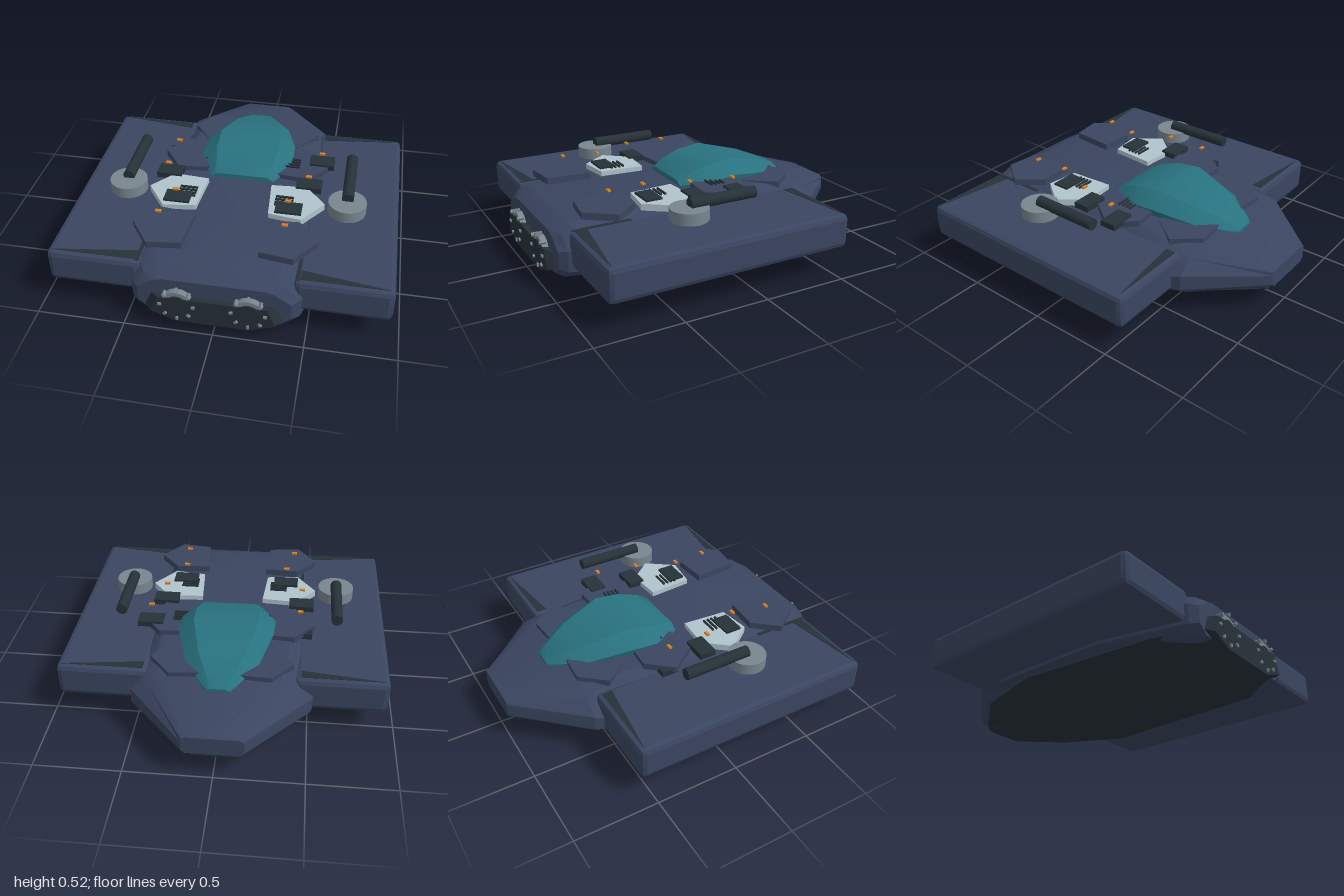
import * as THREE from 'three';
import { toCreasedNormals } from 'three/addons/utils/BufferGeometryUtils.js';
import { RoundedBoxGeometry } from 'three/addons/geometries/RoundedBoxGeometry.js';

const mat = (name, color, side = THREE.FrontSide) => {
  const m = new THREE.MeshStandardMaterial({ color, side });
  m.name = name;
  return m;
};

// Closed loft: each section is [z, [x, y], ...] listing the +x half from bottom to top
function loft(sections, crease) {
  const rings = sections.map(([z, ...half]) => [
    ...half.map(([x, y]) => [x, y, z]),
    ...half.slice().reverse().map(([x, y]) => [-x, y, z]),
  ]);
  const n = rings[0].length, index = [], last = (rings.length - 1) * n;
  for (let i = 0; i < rings.length - 1; i++) {
    for (let j = 0; j < n; j++) {
      const a = i * n + j, b = i * n + (j + 1) % n;
      index.push(a, b, b + n, a, b + n, a + n);
    }
  }
  for (let j = 1; j < n - 1; j++) {
    index.push(0, j + 1, j, last, last + j, last + j + 1);
  }
  const g = new THREE.BufferGeometry();
  g.setAttribute('position', new THREE.Float32BufferAttribute(rings.flat(2), 3));
  g.setIndex(index);
  return toCreasedNormals(g, crease);
}

// Flat plate from an x/z outline, lying between y and y + h
function plate(points, y, h) {
  const shape = new THREE.Shape(points.map(([x, z]) => new THREE.Vector2(x, -z)));
  const g = new THREE.ExtrudeGeometry(shape, { depth: h, bevelEnabled: false });
  return g.rotateX(-Math.PI / 2).translate(0, y, 0);
}

export function createModel() {
  const root = new THREE.Group();
  root.name = 'armouredCraft';
  const navy = mat('navyArmour', 0x3a4560);
  const dark = mat('darkMetal', 0x263138);
  const teal = mat('tealCanopy', 0x28727f);
  const pale = mat('paleArmour', 0xb0c4cc);
  const grey = mat('greyMetal', 0x78868f);
  const orange = mat('orangeLight', 0xd98020);

  const add = (name, geometry, material, x = 0, y = 0, z = 0) => {
    const m = new THREE.Mesh(geometry, material);
    m.name = name;
    m.position.set(x, y, z);
    root.add(m);
    return m;
  };
  const box = (name, w, h, d, material, x, y, z) =>
    add(name, new THREE.BoxGeometry(w, h, d), material, x, y, z);

  // Main hull
  add('hull', loft([
    [-1, [.15, .17], [.17, .19], [.17, .25], [.165, .27], [.14, .28]],
    [-.62, [.45, .13], [.51, .18], [.51, .27], [.42, .34], [.34, .37]],
    [-.3, [.5, .12], [.59, .14], [.59, .17], [.44, .36], [.38, .395]],
    [.4, [.5, .12], [.59, .14], [.59, .17], [.44, .36], [.38, .395]],
    [.85, [.42, .09], [.48, .14], [.48, .27], [.42, .34], [.34, .37]],
    [.91, [.4, .09], [.46, .14], [.46, .26], [.39, .33], [.32, .345]],
    [.95, [.36, .1], [.42, .15], [.42, .25], [.33, .31], [.28, .325]],
  ], 0.4), navy);

  // Dark keel ending in the engine panel
  add('belly', loft([
    [-.95, [.12, .11], [.15, .13], [.15, .17]],
    [-.6, [.25, .055], [.44, .12], [.42, .17]],
    [-.15, [.32, 0], [.56, .12], [.5, .17]],
    [.7, [.32, .03], [.5, .11], [.48, .18]],
    [.95, [.22, .06], [.38, .13], [.34, .22]],
    [.99, [.2, .065], [.34, .12], [.3, .23]],
  ], 0.25), dark);

  // Canopy
  add('canopy', loft([
    [-.7, [.06, .34], [.06, .36], [.04, .37]],
    [-.66, [.1, .34], [.1, .37], [.06, .4]],
    [-.5, [.2, .35], [.21, .4], [.13, .46]],
    [-.25, [.26, .37], [.28, .44], [.19, .52]],
    [-.1, [.26, .37], [.285, .43], [.19, .5]],
    [.03, [.22, .37], [.23, .41], [.17, .46]],
    [.09, [.18, .37], [.19, .4], [.15, .425]],
  ], 0.6), teal);

  // Armour plate outline on the +x side, relative to its row
  const outline = [[.19, -.14], [.4, -.155], [.52, -.01], [.4, .155], [.21, .13]];
  const rows = [
    { z: -.46, dx: -.11, y: .36, m: navy },
    { z: -.095, dx: 0, y: .385, m: navy },
    { z: .295, dx: 0, y: .385, m: pale },
    { z: .645, dx: 0, y: .4, m: navy },
  ];

  for (const s of [-1, 1]) {
    const side = s > 0 ? 'left' : 'right';

    // Broad side sponson with chamfered edges
    add(side + 'Wing', toCreasedNormals(new RoundedBoxGeometry(.53, .2, 1.46, 1, .03), 0.3),
      navy, s * .683, .26, .16);
    // Dark wedge panels on the ends and inner edge of the sponson
    const wedge = (pts) => plate(pts.map(([x, z]) => [s * x, z]), .3585, .004);
    add(side + 'FrontWedge', wedge([[.92, .86], [.45, .86], [.45, .79]]), dark);
    add(side + 'RearWedge', wedge([[.92, -.54], [.45, -.54], [.45, -.48]]), dark);
    box(side + 'WingSeam', .02, .004, .34, dark, s * .437, .362, .7);

    for (const r of rows) {
      const pts = outline.map(([x, z]) => [s * (x + r.dx), r.z + z]);
      add(side + 'ArmourPlate', plate(pts, r.y, .04), r.m);
    }

    // Turret disc and gun barrel
    add(side + 'TurretBase', new THREE.CylinderGeometry(.11, .11, .068, 24), grey, s * .648, .428, .285);
    add(side + 'GunBarrel', new THREE.CylinderGeometry(.034, .034, .41, 16).rotateX(Math.PI / 2),
      dark, s * .648, .477, .078);

    // Vent slats
    for (let i = 0; i < 4; i++) {
      box(side + 'VentSlat', .105, .012, .01, dark, s * .285, .43, .265 + i * .026);
      box(side + 'UpperVentSlat', .105, .012, .01, dark, s > 0 ? .282 : -.2, .43, -.125 + i * .026);
    }

    // Engine ring with clamps around the rim
    add(side + 'EngineRing', new THREE.CylinderGeometry(.085, .085, .06, 20).rotateX(Math.PI / 2),
      grey, s * .195, .185, .955);
    add(side + 'EngineCore', new THREE.CylinderGeometry(.06, .06, .06, 20).rotateX(Math.PI / 2),
      dark, s * .195, .185, .962);
    for (let i = 0; i < 8; i++) {
      const a = i * Math.PI / 4;
      const clamp = box(side + 'EngineClamp', .02, .014, .04, grey,
        s * .195 + Math.cos(a) * .092, .185 + Math.sin(a) * .092, .98);
      clamp.rotation.z = a;
    }
  }

  // Hatches on the deck and the marker lights floating above them
  for (const [x, z] of [[-.43, -.135], [-.435, .115], [-.33, .365], [.465, -.135], [.41, .115], [.32, .365]]) {
    box('deckHatch', .152, .035, .1, dark, x, x === -.43 ? .39 : .42, z);
    box('markerLight', .034, .01, .018, orange, x, .51, z + .035);
  }
  for (const x of [-.375, .33]) box('markerLight', .034, .01, .018, orange, x, .51, .612);

  return root;
}
